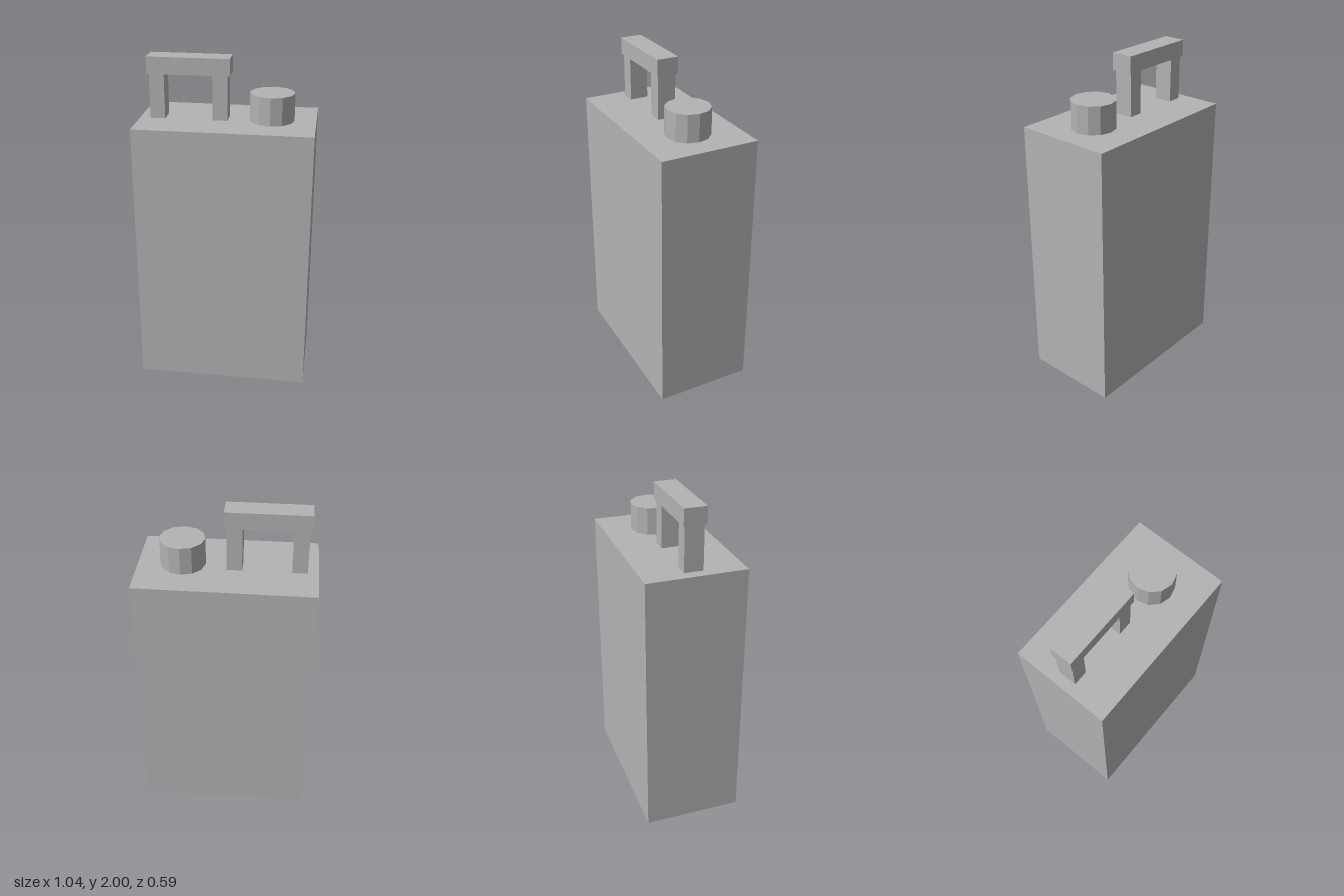
import * as THREE from 'three';

export function createModel() {
  const group = new THREE.Group();
  const grey = new THREE.MeshStandardMaterial({ name: 'plain grey', color: 0xb3b3b3, flatShading: true });

  const add = (name, geometry, x, y, z) => {
    const mesh = new THREE.Mesh(geometry, grey);
    mesh.name = name;
    mesh.position.set(x, y, z);
    group.add(mesh);
  };

  const bodyTop = 1.635, gripBottom = 1.9, capTop = 1.8;

  // Upright container body
  add('body', new THREE.BoxGeometry(1.04, bodyTop, 0.592), 0, bodyTop / 2, 0);

  // Twelve-sided filler cap
  const capHeight = capTop - bodyTop;
  add('cap', new THREE.CylinderGeometry(0.132, 0.132, capHeight, 12), 0.26, bodyTop + capHeight / 2, 0);

  // Carrying handle: two posts and a grip
  const postHeight = gripBottom - bodyTop;
  for (const [name, x] of [['rightHandlePost', -0.413], ['leftHandlePost', -0.041]]) {
    add(name, new THREE.BoxGeometry(0.088, postHeight, 0.112), x, bodyTop + postHeight / 2, 0);
  }
  add('handleGrip', new THREE.BoxGeometry(0.488, 0.1, 0.132), -0.226, gripBottom + 0.05, 0);

  return group;
}
